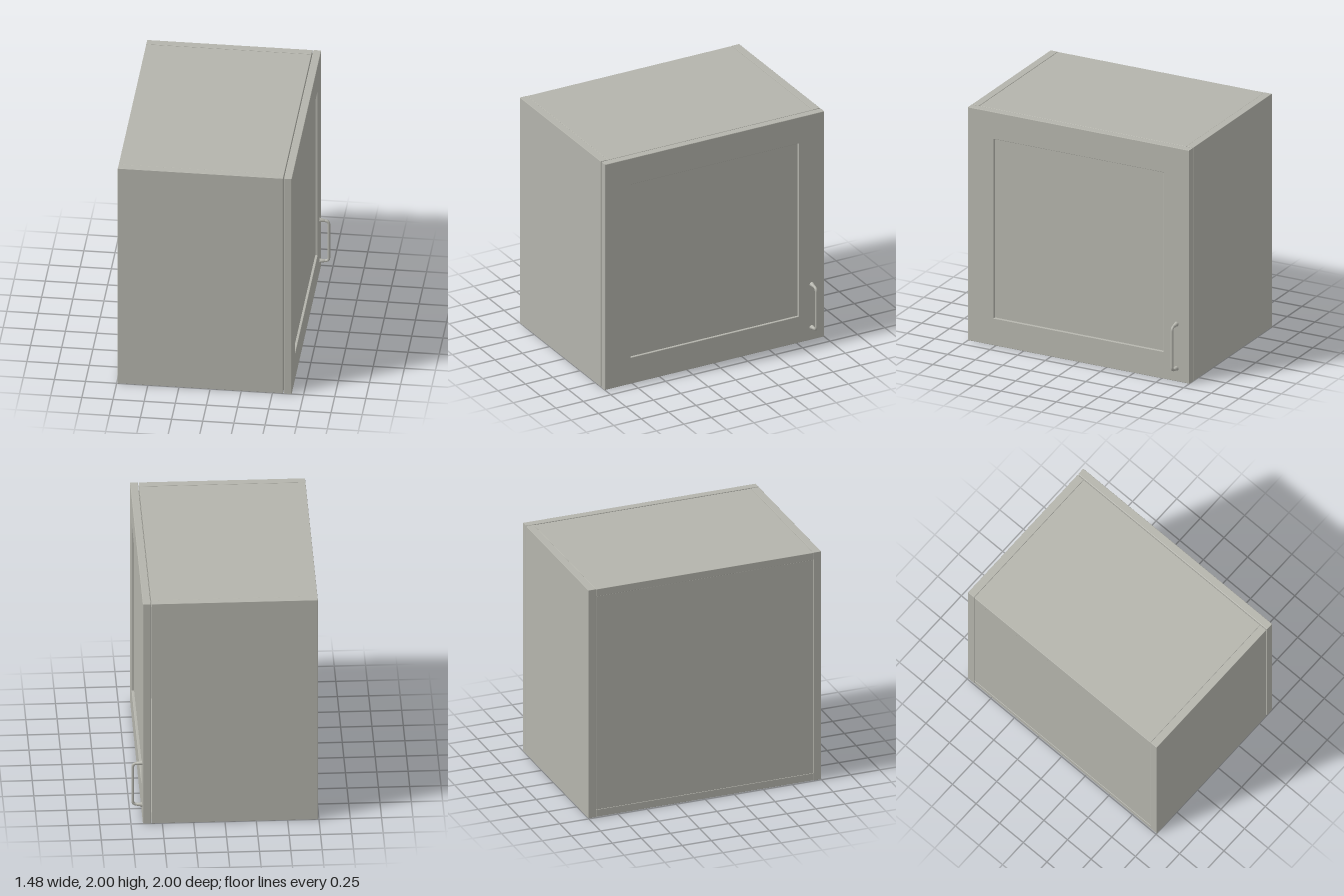
import * as THREE from 'three';
import { RoundedBoxGeometry } from 'three/addons/geometries/RoundedBoxGeometry.js';

export function createModel() {
  const cabinet = new THREE.Group();
  cabinet.name = 'wallCabinet';
  const paint = new THREE.MeshStandardMaterial({ color: 0xb4b4ac });
  paint.name = 'warm grey paint';

  const add = (parent, name, geometry, x = 0, y = 0, z = 0) => {
    const mesh = new THREE.Mesh(geometry, paint);
    mesh.name = name;
    mesh.position.set(x, y, z);
    parent.add(mesh);
    return mesh;
  };
  // Board given by its limits on each axis, with slightly eased edges
  const board = (parent, name, [x0, x1], [y0, y1], [z0, z1], ease = 0.003) =>
    add(parent, name, new RoundedBoxGeometry(x1 - x0, y1 - y0, z1 - z0, 2, ease),
      (x0 + x1) / 2, (y0 + y1) / 2, (z0 + z1) / 2);

  // Carcass: two sides with top, bottom and back fitted between them
  const back = -0.742, front = 0.585, inner = 0.935;
  const carcass = new THREE.Group();
  carcass.name = 'carcass';
  cabinet.add(carcass);
  board(carcass, 'leftSide', [back, front], [0, 2], [inner, 1]);
  board(carcass, 'rightSide', [back, front], [0, 2], [-1, -inner]);
  const between = [-inner + 0.001, inner - 0.001];
  board(carcass, 'topBoard', [back, front], [1.935, 1.998], between);
  board(carcass, 'bottomBoard', [back, front], [0.002, 0.065], between);
  board(carcass, 'backPanel', [back + 0.003, back + 0.033], [0.064, 1.936], between);

  // Door: bevelled frame around a recessed flat panel
  const door = new THREE.Group();
  door.name = 'door';
  cabinet.add(door);
  const rect = (Type, h) => new Type([[-h, -h], [h, -h], [h, h], [-h, h]]
    .map(([a, b]) => new THREE.Vector2(a, b)));
  const outline = rect(THREE.Shape, 1);
  outline.holes.push(rect(THREE.Path, 0.767));
  const bevel = 0.004;
  const frame = new THREE.ExtrudeGeometry(outline, {
    depth: 0.063 - 2 * bevel, bevelThickness: bevel, bevelSize: bevel,
    bevelOffset: -bevel, bevelSegments: 2,
  });
  frame.rotateY(Math.PI / 2);
  add(door, 'doorFrame', frame, 0.592 + bevel, 1, 0);
  board(door, 'doorPanel', [0.594, 0.635], [0.225, 1.775], [-0.775, 0.775]);

  // Handle: bent bar with a flared foot at each end
  const handle = new THREE.Group();
  handle.name = 'handle';
  handle.position.set(0.655, 0.302, -0.885);
  cabinet.add(handle);
  const path = new THREE.CurvePath();
  const p = (x, y) => new THREE.Vector3(x, y, 0);
  path.add(new THREE.LineCurve3(p(0, -0.19), p(0.05, -0.185)));
  path.add(new THREE.QuadraticBezierCurve3(p(0.05, -0.185), p(0.075, -0.182), p(0.075, -0.155)));
  path.add(new THREE.LineCurve3(p(0.075, -0.155), p(0.075, 0.155)));
  path.add(new THREE.QuadraticBezierCurve3(p(0.075, 0.155), p(0.075, 0.182), p(0.05, 0.185)));
  path.add(new THREE.LineCurve3(p(0.05, 0.185), p(0, 0.19)));
  add(handle, 'handleBar', new THREE.TubeGeometry(path, 96, 0.0115, 14));
  const footProfile = [[0.019, -0.003], [0.019, 0.005], [0.016, 0.015], [0.0125, 0.045], [0, 0.05]]
    .map(([r, h]) => new THREE.Vector2(r, h));
  for (const side of [-1, 1]) {
    const foot = add(handle, side < 0 ? 'lowerFoot' : 'upperFoot',
      new THREE.LatheGeometry(footProfile, 16), 0, side * 0.19, 0);
    foot.rotation.z = -Math.PI / 2 - side * 0.1;
  }
  return cabinet;
}
